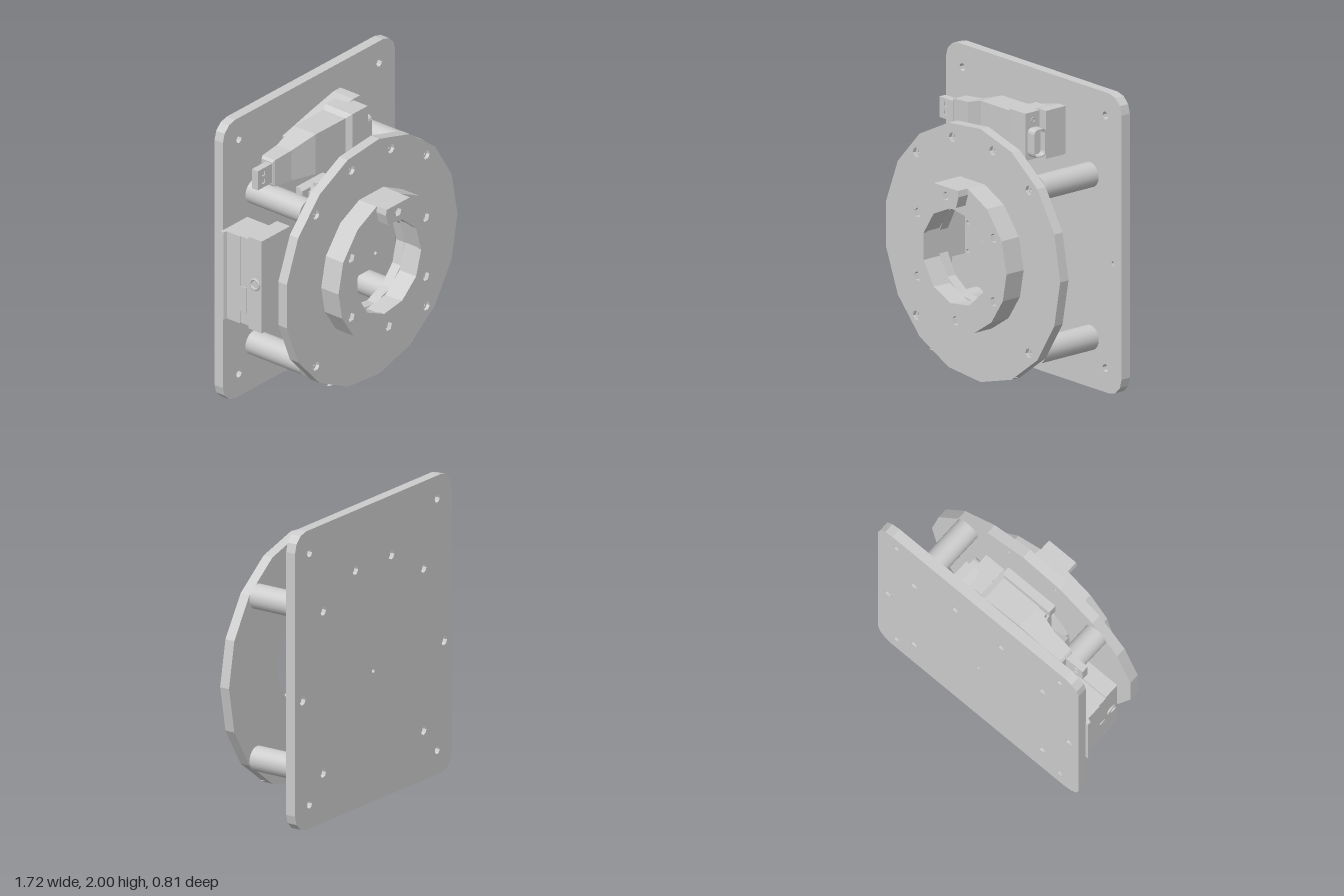
import * as THREE from 'three';

const CX = 0.008, CY = 0.875;
const material = new THREE.MeshStandardMaterial({ color: 0xcccccc, flatShading: true });
const smooth = new THREE.MeshStandardMaterial({ color: 0xcccccc });
const V = (x, y) => new THREE.Vector2(x, y);

// Regular polygon points around (x, y)
function ngon(x, y, r, n, start = 0) {
  return Array.from({ length: n }, (_, i) => {
    const a = start + (i / n) * Math.PI * 2;
    return V(x + r * Math.cos(a), y + r * Math.sin(a));
  });
}
const rect = (x0, x1, y0, y1) => [V(x0, y0), V(x1, y0), V(x1, y1), V(x0, y1)];

// Rectangle with rounded corners
function roundRect(x0, x1, y0, y1, r, seg) {
  const corners = [[x1 - r, y1 - r], [x0 + r, y1 - r], [x0 + r, y0 + r], [x1 - r, y0 + r]];
  return corners.flatMap(([x, y], k) => Array.from({ length: seg + 1 }, (_, i) => {
    const a = (k + i / seg) * Math.PI / 2;
    return V(x + r * Math.cos(a), y + r * Math.sin(a));
  }));
}

export function createModel() {
  const model = new THREE.Group();

  const add = (name, geometry, mat = material, parent = model) => {
    const mesh = new THREE.Mesh(geometry, mat);
    mesh.name = name;
    parent.add(mesh);
    return mesh;
  };
  // Flat outline with holes, extruded from z0 to z1
  const slab = (name, pts, z0, z1, holes = [], parent = model) => {
    const shape = new THREE.Shape(pts);
    shape.holes = holes.map(h => new THREE.Path(h));
    const g = new THREE.ExtrudeGeometry(shape, { depth: z1 - z0, bevelEnabled: false });
    g.translate(0, 0, z0);
    return add(name, g, material, parent);
  };
  const box = (name, x0, x1, y0, y1, z0, z1, parent = model) => {
    const g = new THREE.BoxGeometry(x1 - x0, y1 - y0, z1 - z0);
    g.translate((x0 + x1) / 2, (y0 + y1) / 2, (z0 + z1) / 2);
    return add(name, g, material, parent);
  };
  // Rod along z
  const rod = (name, x, y, r, z0, z1, n = 24, mat = smooth) => {
    const g = new THREE.CylinderGeometry(r, r, z1 - z0, n);
    g.rotateX(Math.PI / 2).translate(x, y, (z0 + z1) / 2);
    return add(name, g, mat);
  };

  const posts = [], corners = [], upper = [], sides = [];
  for (const s of [-1, 1]) {
    for (const t of [-1, 1]) {
      posts.push([CX + s * 0.543, CY + t * 0.543]);
      corners.push([CX + s * 0.69, 1.003 + t * 0.842]);
    }
    upper.push([CX + s * 0.195, 1.6]);
    sides.push([CX + s * 0.765, CY]);
  }
  const drill = (list, r, n) => list.map(([x, y]) => ngon(x, y, r, n, Math.PI / 2));

  // Back plate: plain layer and a rear layer with counterbores
  const plate = roundRect(-0.84, 0.855, 0, 2, 0.12, 3);
  const screws = [...posts, ...upper, ...sides];
  const common = [...drill(corners, 0.027, 8), ...drill([[CX, CY]], 0.015, 8)];
  slab('backPlateInner', plate, -0.38, -0.34, [...common, ...drill(screws, 0.015, 8)]);
  slab('backPlateOuter', plate, -0.41, -0.38, [...common, ...drill(screws, 0.031, 8)]);

  // Standoffs, hollow along their axis
  for (const [x, y] of posts) {
    const tube = [[0.015, -0.34], [0.083, -0.34], [0.083, 0.11], [0.015, 0.11]].map(p => V(...p));
    // Separate walls keep the rims sharp
    const post = new THREE.Group();
    post.name = 'standoff';
    for (let i = 0; i < 4; i++) {
      const g = new THREE.LatheGeometry([tube[i], tube[(i + 1) % 4]], 24);
      g.rotateX(Math.PI / 2).scale(1, 1, 1);
      g.translate(x, y, 0);
      add('standoffWall', g, new THREE.MeshStandardMaterial({ color: 0xcccccc, side: THREE.DoubleSide }), post);
    }
    model.add(post);
  }

  // Front disc with recessed window and counterbored screws
  const disc = ngon(CX, CY, 0.847, 17);
  const opening = ngon(CX, CY, 0.327, 13);
  slab('frontDiscRear', disc, 0.11, 0.155, [opening, ...drill([...posts, ...upper], 0.015, 6)]);
  slab('frontDiscFace', disc, 0.155, 0.18,
    [opening, rect(-0.405, 0.42, 0.135, 0.392), ...drill([...posts, ...upper], 0.032, 7)]);
  slab('windowPanel', rect(-0.393, 0.408, 0.147, 0.38), 0.15, 0.17);

  // Raised hub ring
  const hub = [-68, -45, -22, 0, 25, 52, 76, 104, 128, 155, 180, 202, 225, 248]
    .map(d => d * Math.PI / 180).map(a => V(CX + 0.494 * Math.cos(a), CY + 0.498 * Math.sin(a)));
  const hubScrews = ngon(CX, CY, 0.424, 6, Math.PI / 2).map(p => [p.x, p.y]);
  const bore = ngon(CX, CY, 0.32, 11);
  slab('hubRingRear', hub, 0.18, 0.295, [ngon(CX, CY, 0.33, 11), ...drill(hubScrews, 0.017, 5)]);
  slab('hubRingFace', hub, 0.295, 0.325, [bore, ...drill(hubScrews, 0.033, 5)]);

  // Index tab on the hub
  slab('indexTab', [V(-0.09, 1.243), V(CX, 1.256), V(0.106, 1.243), V(0.13, 1.32), V(0.122, 1.36),
    V(-0.106, 1.36), V(-0.114, 1.32)], 0.325, 0.405, drill([[CX, 1.299]], 0.031, 5));

  // Servo motor seen through the hub
  slab('servoBody', roundRect(-0.13, 0.146, 0.74, 1.25, 0.03, 3), -0.32, 0.085);
  rod('servoShaft', CX, CY, 0.055, 0.085, 0.092, 9, material);
  const flange = [V(-0.12, 0.745), V(0.136, 0.745), V(0.206, 0.81), V(0.206, 1.24), V(-0.19, 1.24), V(-0.19, 0.81)];
  const flangeHoles = [-1, 1].flatMap(s => [0.825, 1.015].map(y => [CX + s * 0.17, y]));
  slab('servoFrontFlange', flange, 0.03, 0.07, drill(flangeHoles, 0.014, 8));
  slab('servoCase', flange, -0.26, 0.03);
  box('servoTopBracket', -0.19, 0.208, 1.215, 1.315, 0.05, 0.11);
  for (const z of [0.005, -0.265]) {
    for (const x of [-0.18, -0.04, 0.12]) box('servoTopLug', x, x + 0.08, 1.23, 1.305, z, z + 0.028);
    for (const y of [0.745, 0.84, 1.0, 1.17]) {
      for (const x of [-0.194, 0.2]) box('servoSideLug', x, x + 0.01, y, y + 0.06, z, z + 0.028);
    }
  }
  box('servoLabel', 0.2, 0.211, 1.055, 1.21, -0.26, -0.115);
  box('servoMount', -0.12, 0.14, 1.05, 1.28, -0.34, -0.02);

  // Power connector housing on the right side
  box('powerHousingFront', -0.83, -0.55, 0.615, 1.275, -0.135, -0.025);
  box('powerHousingRear', -0.83, -0.6, 0.635, 1.255, -0.34, -0.135);
  slab('powerHousingLip', [V(-0.862, -0.345), V(-0.82, -0.345), V(-0.82, -0.2), V(-0.836, -0.2), V(-0.836, -0.31),
    V(-0.862, -0.318)], -1.255, -0.63).rotation.x = Math.PI / 2;
  box('powerSwitch', -0.836, -0.82, 0.72, 0.9, -0.2, -0.15);
  const jack = add('powerJack', new THREE.TorusGeometry(0.035, 0.01, 6, 16), smooth);
  jack.rotation.y = Math.PI / 2;
  jack.position.set(-0.832, 0.95, -0.08);

  // Adapter holder against the back plate
  slab('adapterHolder', [V(-0.255, 1.5), V(0.315, 1.5), V(0.315, 1.82), V(0.25, 1.82), V(0.05, 1.775), V(-0.255, 1.7)],
    -0.34, -0.175);

  // Cable adapter: body lofted through rectangular sections [x, y0, y1, z0, z1]
  const sections = [[-0.565, 1.53, 1.69, -0.25, -0.16], [-0.55, 1.515, 1.705, -0.257, -0.152],
    [-0.4, 1.505, 1.72, -0.262, -0.14], [-0.22, 1.495, 1.78, -0.27, -0.092],
    [0.07, 1.495, 1.78, -0.275, -0.09], [0.1, 1.495, 1.808, -0.28, -0.057]];
  const pos = [], idx = [];
  for (const [x, y0, y1, z0, z1] of sections) pos.push(x, y0, z0, x, y0, z1, x, y1, z1, x, y1, z0);
  for (let i = 0; i < sections.length - 1; i++) {
    for (let j = 0; j < 4; j++) {
      const a = i * 4 + j, b = i * 4 + (j + 1) % 4;
      idx.push(a, a + 4, b, b, a + 4, b + 4);
    }
  }
  const e = (sections.length - 1) * 4;
  idx.push(0, 1, 2, 0, 2, 3, e, e + 2, e + 1, e, e + 3, e + 2);
  const body = new THREE.BufferGeometry();
  body.setAttribute('position', new THREE.Float32BufferAttribute(pos, 3));
  body.setIndex(idx);
  const bodyMesh = add('adapterBody', body.toNonIndexed(), material.clone());
  bodyMesh.material.side = THREE.DoubleSide;
  bodyMesh.geometry.computeVertexNormals();
  box('adapterHood', 0.1, 0.25, 1.495, 1.81, -0.21, -0.055);
  box('adapterHoodRear', 0.1, 0.215, 1.495, 1.808, -0.28, -0.2);

  // Flat plug with two contact windows
  slab('plug', rect(-0.703, -0.56, 1.545, 1.682), -0.215, -0.165,
    [1.588, 1.643].map(y => rect(-0.66, -0.63, y - 0.015, y + 0.015)));
  box('plugCore', -0.695, -0.57, 1.55, 1.677, -0.205, -0.175);

  // Serial connector shell facing left, and its screw hole rim
  const shell = slab('connectorShell', roundRect(0.075, 0.175, 1.52, 1.708, 0.03, 3), 0.24, 0.315,
    [roundRect(0.083, 0.167, 1.528, 1.7, 0.025, 3)]);
  shell.rotation.y = Math.PI / 2;
  box('connectorCore', 0.24, 0.27, 1.53, 1.7, -0.165, -0.085);
  const rim = add('connectorScrewRim', new THREE.TorusGeometry(0.016, 0.004, 6, 12), smooth);
  rim.rotation.y = Math.PI / 2;
  rim.position.set(0.25, 1.755, -0.12);

  return model;
}
